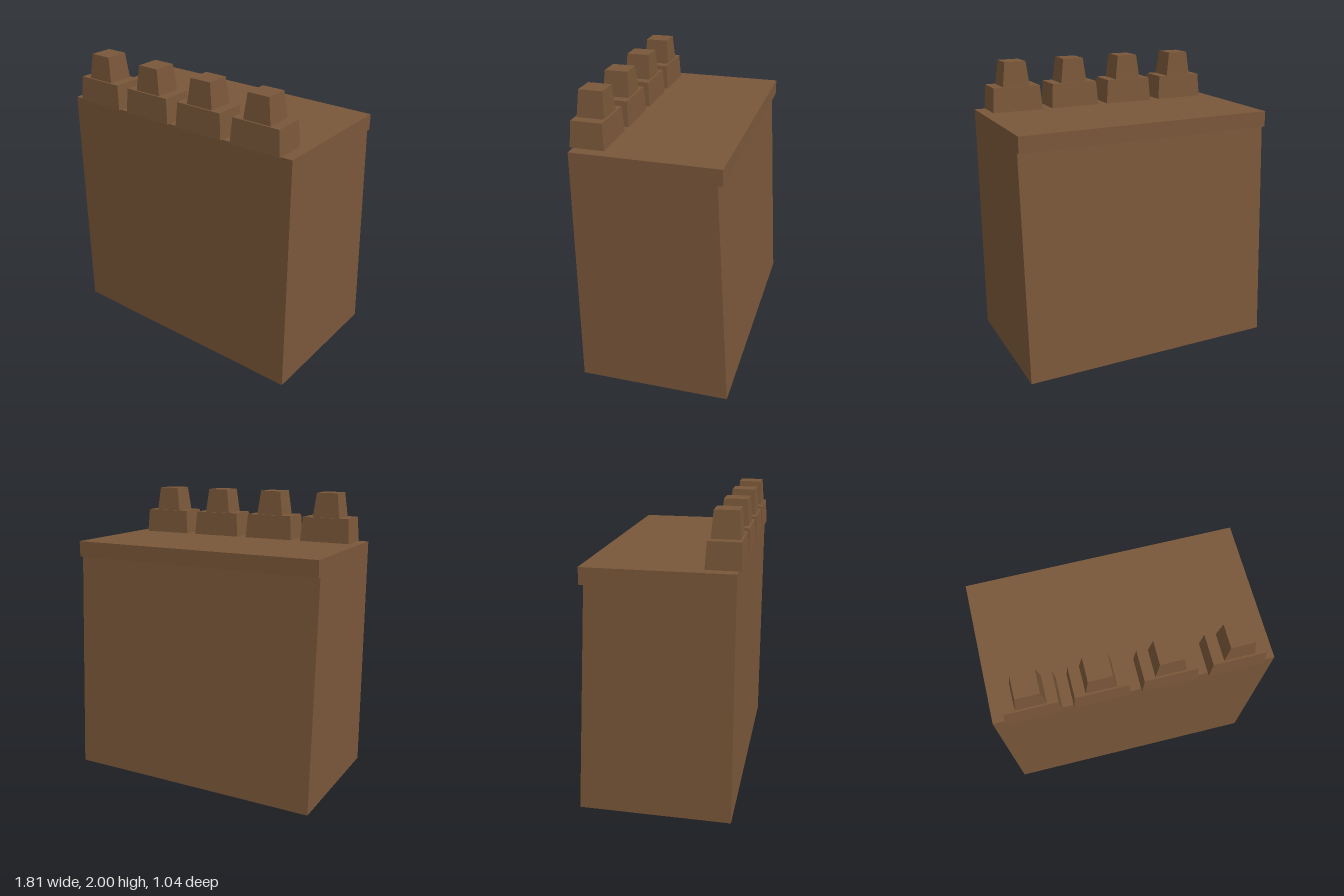
import * as THREE from 'three';

// Box whose top is narrower than its base, standing on y = 0
function taperedBlock(baseW, baseD, topW, topD, height) {
  const geo = new THREE.BoxGeometry(baseW, height, baseD);
  geo.translate(0, height / 2, 0);
  const p = geo.attributes.position;
  for (let i = 0; i < p.count; i++) {
    if (p.getY(i) > height / 2) {
      p.setX(i, p.getX(i) * topW / baseW);
      p.setZ(i, p.getZ(i) * topD / baseD);
    }
  }
  geo.computeVertexNormals();
  return geo;
}

export function createModel() {
  const model = new THREE.Group();
  model.name = 'battlementWall';
  const brown = new THREE.MeshStandardMaterial({ name: 'brown', color: 0x795739 });

  // Wall: side profile (z, y) with a sloping back and a rear ledge, extruded along x
  const profile = new THREE.Shape([
    [0.5, 0], [0.5, 1.66], [-0.46, 1.66], [-0.46, 1.55], [-0.43, 1.55], [-0.52, 0],
  ].map(([z, y]) => new THREE.Vector2(z, y)));
  const width = 1.814;
  const wallGeo = new THREE.ExtrudeGeometry(profile, { depth: width, bevelEnabled: false });
  wallGeo.translate(0, 0, -width / 2).rotateY(-Math.PI / 2);
  const wall = new THREE.Mesh(wallGeo, brown);
  wall.name = 'wall';
  model.add(wall);

  // Four stepped merlons along the front edge
  const lowerGeo = taperedBlock(0.362, 0.224, 0.336, 0.204, 0.17);
  const upperGeo = taperedBlock(0.196, 0.18, 0.152, 0.156, 0.17);
  for (const x of [-0.649, -0.216, 0.216, 0.649]) {
    const merlon = new THREE.Group();
    merlon.name = 'merlon';
    merlon.position.set(x, 1.66, 0.409);
    const lower = new THREE.Mesh(lowerGeo, brown);
    lower.name = 'merlonBase';
    const upper = new THREE.Mesh(upperGeo, brown);
    upper.name = 'merlonCap';
    upper.position.y = 0.17;
    merlon.add(lower, upper);
    model.add(merlon);
  }
  return model;
}
